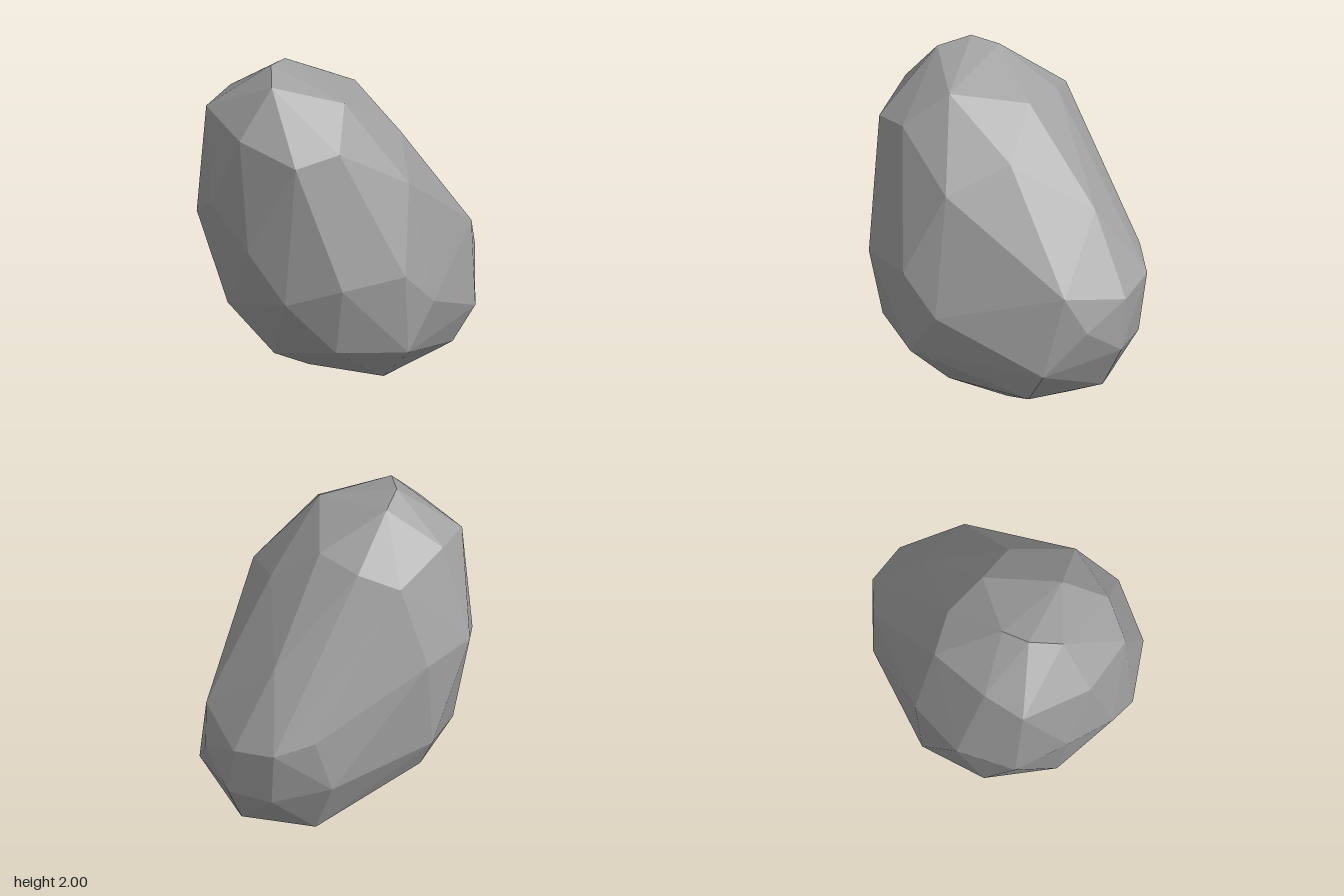
import * as THREE from 'three';
import { ConvexGeometry } from 'three/addons/geometries/ConvexGeometry.js';

// Corners of the boulder, in loose rings from the crown down to the foot
const crown = [
  [-0.42, 2.0, -0.18], [-0.26, 1.97, -0.24], [-0.55, 1.95, -0.03], [-0.24, 1.85, 0.25],
  [0.11, 1.78, -0.05], [0.1, 1.75, -0.33],
];
const shoulder = [
  [0.2, 1.53, 0.24], [-0.02, 1.38, 0.56], [-0.44, 1.65, 0.43], [-0.69, 1.6, 0.33],
  [-0.79, 1.68, -0.04], [-0.67, 1.72, -0.46], [-0.42, 1.75, -0.53], [-0.02, 1.68, -0.55],
];
const waist = [
  [0.56, 1.22, -0.09], [-0.05, 1.2, -0.73], [-0.41, 1.2, -0.74], [-0.68, 1.03, -0.53],
  [-0.82, 1.22, -0.25], [-0.84, 1.03, 0.09], [-0.56, 0.87, 0.59], [-0.2, 0.9, 0.73],
];
const belly = [
  [0.03, 0.67, 0.72], [0.67, 0.84, 0.33], [0.77, 0.62, 0.25], [0.84, 0.76, -0.02],
  [0.79, 0.81, -0.28], [0.61, 0.88, -0.44], [0.54, 0.55, -0.51], [-0.1, 0.62, -0.72],
  [-0.46, 0.53, -0.57], [-0.71, 0.56, -0.23], [-0.76, 0.75, 0.32],
];
const foot = [
  [0.84, 0.45, 0.02], [0.76, 0.45, -0.24], [0.6, 0.36, 0.44], [-0.16, 0.4, 0.71],
  [-0.53, 0.44, 0.5], [-0.11, 0.42, -0.62], [0.51, 0.19, -0.36], [0.71, 0.19, 0.03],
  [0.46, 0.16, 0.4], [-0.1, 0.13, 0.43], [-0.53, 0.25, -0.03], [-0.3, 0.12, 0.01],
];
const base = [[0.41, 0.02, -0.03], [0.18, 0.03, -0.19], [0.15, 0, 0.2]];

export function createModel() {
  const group = new THREE.Group();
  group.name = 'boulder';

  const stone = new THREE.MeshStandardMaterial({ color: 0xa0a0a0, flatShading: true });
  stone.name = 'grey stone';

  // One faceted stone wrapped around all the corners
  const corners = [crown, shoulder, waist, belly, foot, base]
    .flat()
    .map((p) => new THREE.Vector3(...p));
  const rock = new THREE.Mesh(new ConvexGeometry(corners), stone);
  rock.name = 'rock';
  group.add(rock);
  return group;
}
